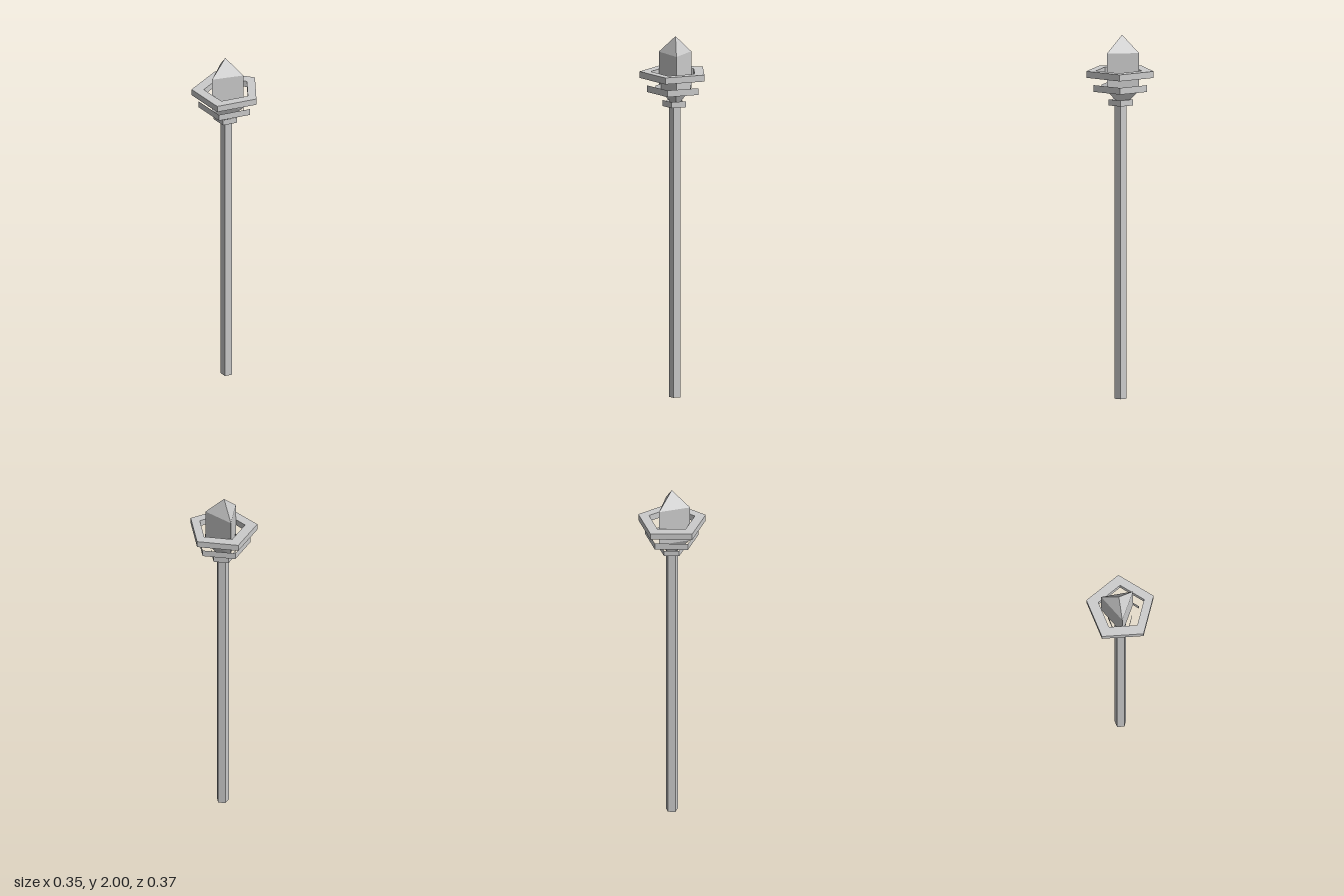
import * as THREE from 'three';

const material = new THREE.MeshStandardMaterial({ color: 0xcccccc, flatShading: true });

// Regular pentagon in the xz plane with one corner towards +x
function pentagon(cx, r, y) {
  return Array.from({ length: 5 }, (_, i) => {
    const a = (i * Math.PI * 2) / 5;
    return new THREE.Vector3(cx + r * Math.cos(a), y, -r * Math.sin(a));
  });
}

// Joins two closed loops of corners with a band of quads
function addBand(out, low, high) {
  low.forEach((a, i) => {
    const j = (i + 1) % low.length;
    for (const p of [a, low[j], high[j], a, high[j], high[i]]) out.push(p);
  });
}

function makeMesh(name, points) {
  const geometry = new THREE.BufferGeometry().setFromPoints(points);
  geometry.computeVertexNormals();
  const mesh = new THREE.Mesh(geometry, material);
  mesh.name = name;
  return mesh;
}

// Hollow five-sided ring, the opening scaled about the middle of its width
function makeRing(name, cx, r, y0, y1, topFace) {
  const k = 0.68;
  const innerX = (cx + r * 0.0955) * (1 - k) + cx * k;
  const outLow = pentagon(cx, r, y0), outHigh = pentagon(cx, r, y1);
  const inLow = pentagon(innerX, r * k, y0), inHigh = pentagon(innerX, r * k, y1);
  const points = [];
  addBand(points, outLow, outHigh);
  addBand(points, inHigh, inLow);
  addBand(points, inLow, outLow);
  if (topFace) addBand(points, outHigh, inHigh);
  return makeMesh(name, points);
}

export function createModel() {
  const model = new THREE.Group();
  model.name = 'staff';

  // Long five-sided shaft
  const shaft = [];
  addBand(shaft, pentagon(-0.021, 0.034, 0), pentagon(-0.021, 0.034, 1.63));
  model.add(makeMesh('shaft', shaft));

  // Collar and the two floating rings; the lower ones are open on top
  model.add(makeRing('collar', -0.022, 0.07, 1.615, 1.648, false));
  model.add(makeRing('lowerRing', -0.021, 0.153, 1.693, 1.73, false));
  model.add(makeRing('upperRing', -0.019, 0.193, 1.772, 1.808, true));

  // Three-sided crystal, pointed at both ends
  const profile = [[0, 1.6], [0.102, 1.7], [0.102, 1.905], [0, 2]].map(([r, y]) => new THREE.Vector2(r, y));
  const crystal = new THREE.Mesh(new THREE.LatheGeometry(profile, 3), material);
  crystal.name = 'crystal';
  crystal.position.x = -0.03;
  crystal.rotation.y = THREE.MathUtils.degToRad(-11.5);
  model.add(crystal);

  return model;
}
